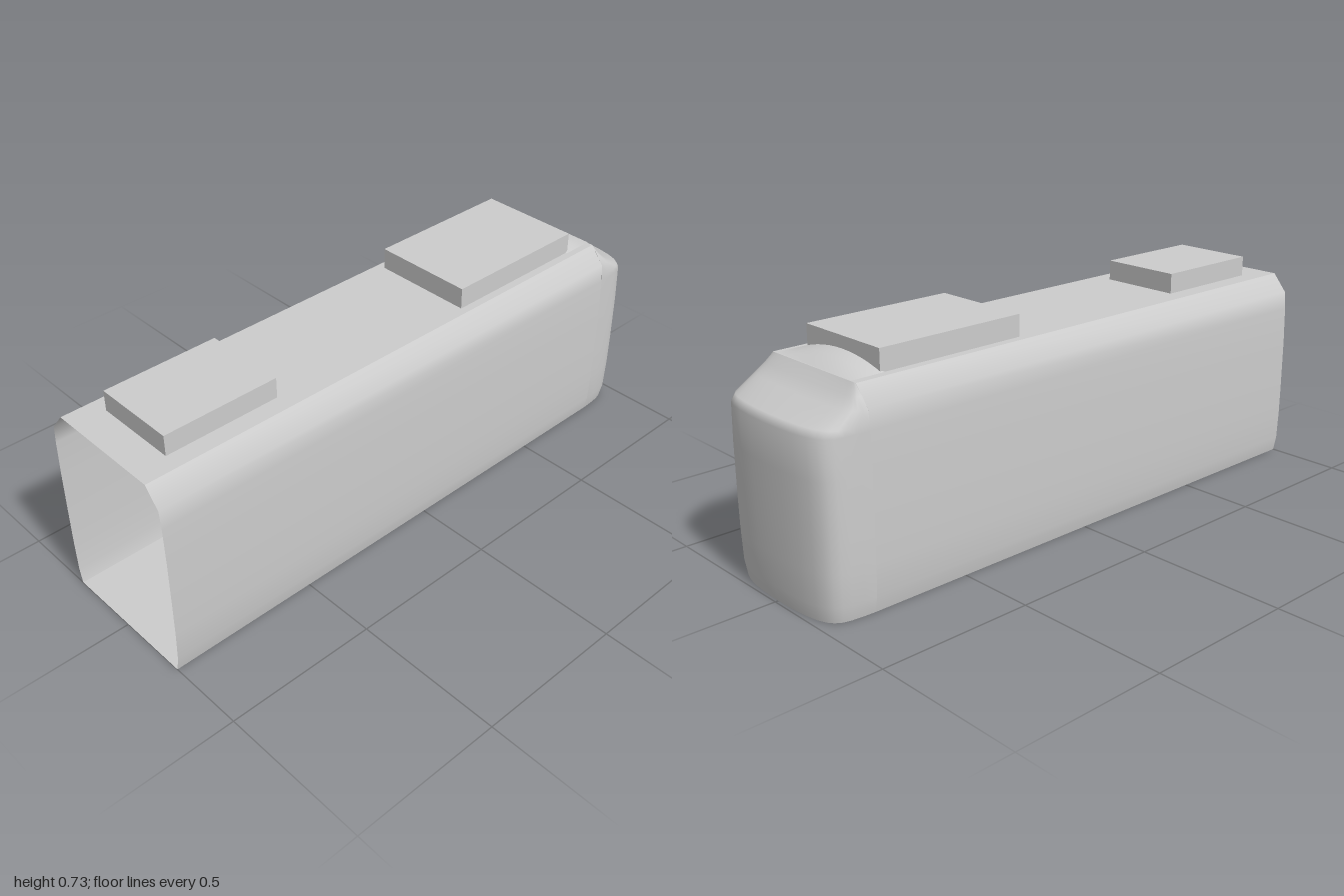
import * as THREE from 'three';

const paint = new THREE.MeshStandardMaterial({ color: 0xcccccc, side: THREE.DoubleSide });
paint.name = 'plain grey';

// Half cross-section of the hull, from floor to roof edge: [x, y]
const SECTION = [[0.243, 0], [0.253, 0.05], [0.257, 0.15], [0.258, 0.25], [0.258, 0.42],
  [0.255, 0.54], [0.25, 0.6], [0.2, 0.66]];
const FRONT = 1, JOIN = -0.83, ROOF = 0.66;

// Smooth skin over rows of points
function skin(name, rows) {
  const n = rows[0].length, index = [];
  for (let i = 0; i < rows.length - 1; i++) {
    for (let j = 0; j < n - 1; j++) {
      const a = i * n + j, b = a + 1, c = a + n, d = c + 1;
      index.push(a, b, c, b, d, c);
    }
  }
  const g = new THREE.BufferGeometry();
  g.setAttribute('position', new THREE.Float32BufferAttribute(rows.flat(2), 3));
  g.setIndex(index);
  g.computeVertexNormals();
  const mesh = new THREE.Mesh(g, paint);
  mesh.name = name;
  return mesh;
}

function box(name, w, y0, y1, z0, z1) {
  const mesh = new THREE.Mesh(new THREE.BoxGeometry(w, y1 - y0, z1 - z0), paint);
  mesh.position.set(0, (y0 + y1) / 2, (z0 + z1) / 2);
  mesh.name = name;
  return mesh;
}

export function createModel() {
  const model = new THREE.Group();
  model.name = 'carriageBody';

  // Long hull, open at the front
  model.add(skin('leftSide', SECTION.map(([x, y]) => [[x, y, FRONT], [x, y, JOIN]])));
  model.add(skin('rightSide', SECTION.map(([x, y]) => [[-x, y, JOIN], [-x, y, FRONT]])));
  model.add(skin('roof', [FRONT, JOIN].map(z => [[-0.2, ROOF, z], [0.2, ROOF, z]])));
  model.add(skin('floor', [FRONT, JOIN].map(z => [[0.243, 0, z], [-0.243, 0, z]])));

  // Rounded end cap: plan outline from the left side round to the right
  const half = [[0.258, -0.83], [0.256, -0.87], [0.252, -0.91], [0.245, -0.937], [0.232, -0.957],
    [0.212, -0.972], [0.18, -0.984], [0.13, -0.993], [0.07, -0.998]];
  const plan = [...half, [0, -1], ...half.slice().reverse().map(([x, z]) => [-x, z])];
  const lerp = THREE.MathUtils.lerp;
  const rows = SECTION.slice(0, 6).map(([w, y]) => plan.map(([x, z]) => {
    const s = w / 0.258;
    return [x * s, y, JOIN + (z - JOIN) * s];
  }));
  // Sloping shoulder up to the roof edge
  for (const [tx, tz, y] of [[0.05, 0.12, 0.56], [0.15, 0.62, 0.6], [0.55, 0.83, 0.63], [1, 1, ROOF]]) {
    rows.push(plan.map(([x, z]) => [lerp(x, x * 0.2 / 0.258, tx), y, lerp(z, JOIN, tz)]));
  }
  model.add(skin('endCap', rows));
  model.add(skin('endCapFloor', [rows[0].map(([x]) => [x, 0, JOIN]), rows[0]]));

  // Low arched fairing between the rear roof unit and the end cap
  const fairing = [];
  for (let i = 0; i <= 4; i++) {
    const t = i / 4, row = [];
    for (let j = 0; j <= 12; j++) {
      const u = j / 6 - 1;
      row.push([u * 0.18, ROOF + 0.002 + 0.03 * (1 - u * u) * (1 - t * t), lerp(-0.72, JOIN, t)]);
    }
    fairing.push(row);
  }
  model.add(skin('roofFairing', fairing));

  // Roof units
  model.add(box('rearRoofUnit', 0.346, ROOF, 0.73, -0.73, -0.215));
  model.add(box('frontRoofUnit', 0.28, ROOF, 0.727, 0.505, 0.89));
  return model;
}
